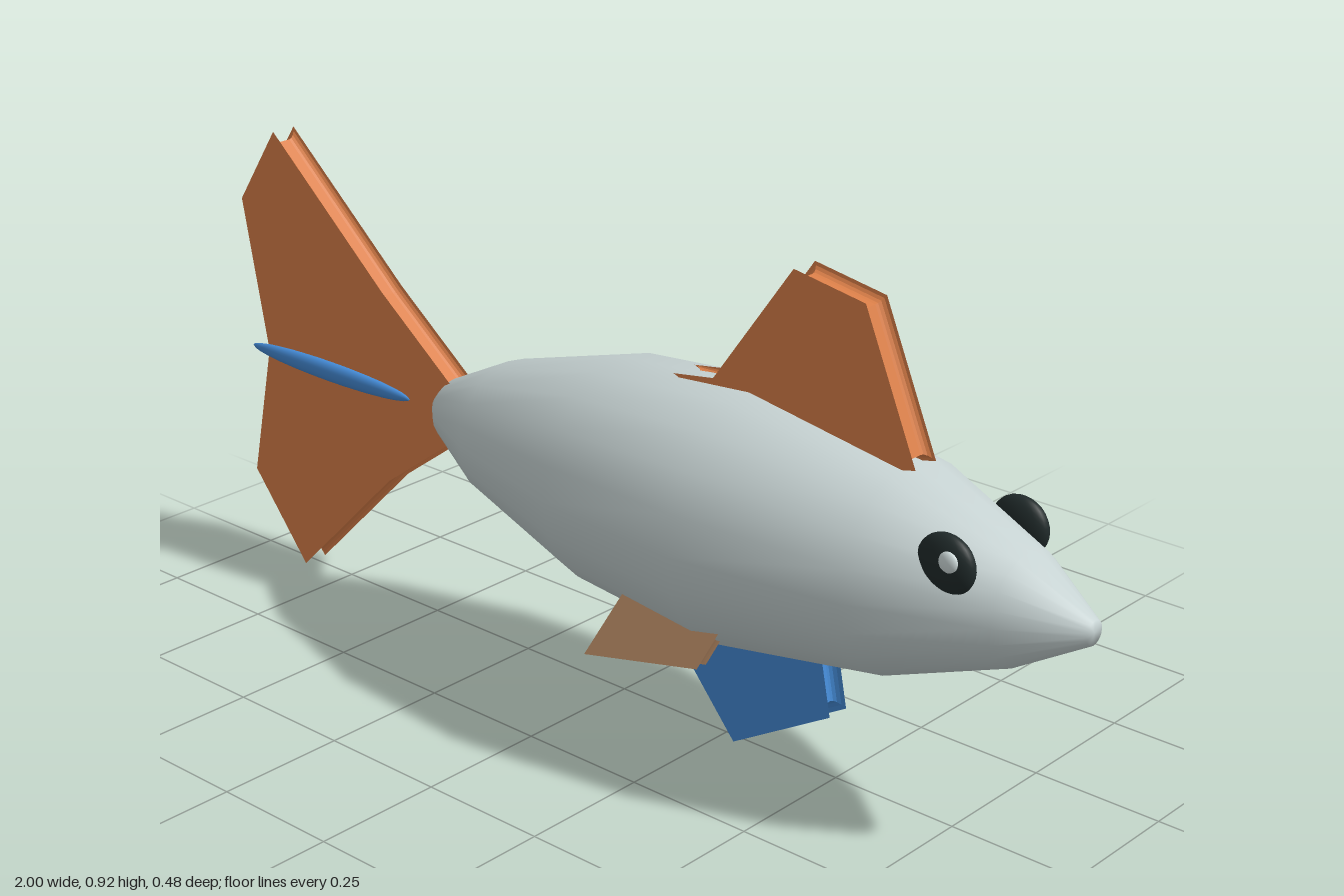
import * as THREE from 'three';

const paint = (name, color) => {
  const m = new THREE.MeshStandardMaterial({ color });
  m.name = name;
  return m;
};

export function createModel() {
  const fish = new THREE.Group();
  fish.name = 'fish';
  const silver = paint('silver', 0xc6d2d2);
  const orange = paint('orange', 0xdc8049);
  const blue = paint('blue', 0x458bd6);
  const tan = paint('tan', 0xd8a377);
  const black = paint('black', 0x202a2a);
  const glint = paint('glint', 0xd0dcdc);

  const add = (name, geometry, material, x = 0, y = 0, z = 0) => {
    const mesh = new THREE.Mesh(geometry, material);
    mesh.name = name;
    mesh.position.set(x, y, z);
    fish.add(mesh);
    return mesh;
  };

  // Fin: outline extruded to a full width, with its rim hollowed inwards
  const fin = (name, outline, width, hollow, material, z = 0) => {
    const shape = new THREE.Shape(outline.map(([x, y]) => new THREE.Vector2(x, y)));
    const bevelThickness = width * 0.28;
    const depth = width - 2 * bevelThickness;
    const geometry = new THREE.ExtrudeGeometry(shape, {
      depth, bevelEnabled: true, bevelThickness, bevelSize: -hollow, bevelSegments: 4,
    });
    geometry.translate(0, 0, -depth / 2);
    return add(name, geometry, material, 0, 0, z);
  };

  const ellipsoid = (rx, ry, rz) => new THREE.SphereGeometry(1, 24, 16).scale(rx, ry, rz);

  // Spindle body along x
  const profile = [
    [0, -0.475], [0.025, -0.472], [0.06, -0.435], [0.132, -0.29], [0.213, 0],
    [0.239, 0.31], [0.188, 0.635], [0.1, 0.87], [0.022, 1], [0, 1],
  ].map(([r, x]) => new THREE.Vector2(r, x));
  add('body', new THREE.LatheGeometry(profile, 20).rotateZ(-Math.PI / 2), silver, 0, 0.45, 0);

  // Fins on the centre line
  fin('tailFin', [
    [-0.39, 0.45], [-0.42, 0.51], [-0.6, 0.65], [-0.895, 0.91], [-1, 0.755],
    [-0.94, 0.45], [-1, 0.175], [-0.86, 0.003], [-0.6, 0.26], [-0.42, 0.39],
  ], 0.052, 0.016, orange);
  fin('dorsalFin', [
    [0.14, 0.676], [0.23, 0.69], [0.4, 0.925], [0.55, 0.9], [0.662, 0.64], [0.4, 0.58],
  ], 0.056, 0.016, orange);
  fin('bellyFin', [
    [0.06, 0.27], [0.285, 0.005], [0.5, 0.13], [0.468, 0.29],
  ], 0.046, 0.022, blue);
  fin('rearBellyFin', [
    [-0.35, 0.325], [-0.24, 0.298], [-0.14, 0.34], [-0.24, 0.36],
  ], 0.046, 0.012, blue);

  // Mirrored parts
  for (const [side, s] of [['left', 1], ['right', -1]]) {
    // The fish swims towards +x, so these sides are the +z and -z flanks
    fin(side + 'PectoralFin', [
      [0.06, 0.16], [0.325, 0.22], [0.39, 0.335], [0.17, 0.337],
    ], 0.024, 0.01, tan, 0.161 * s);
    add(side + 'TailStripe', ellipsoid(0.228, 0.02, 0.014), blue, -0.755, 0.452, 0.031 * s);
    add(side + 'Eye', ellipsoid(0.056, 0.054, 0.025), black, 0.783, 0.537, 0.102 * s);
    add(side + 'EyeGlint', ellipsoid(0.02, 0.02, 0.01), glint, 0.798, 0.55, 0.119 * s);
  }
  return fish;
}
